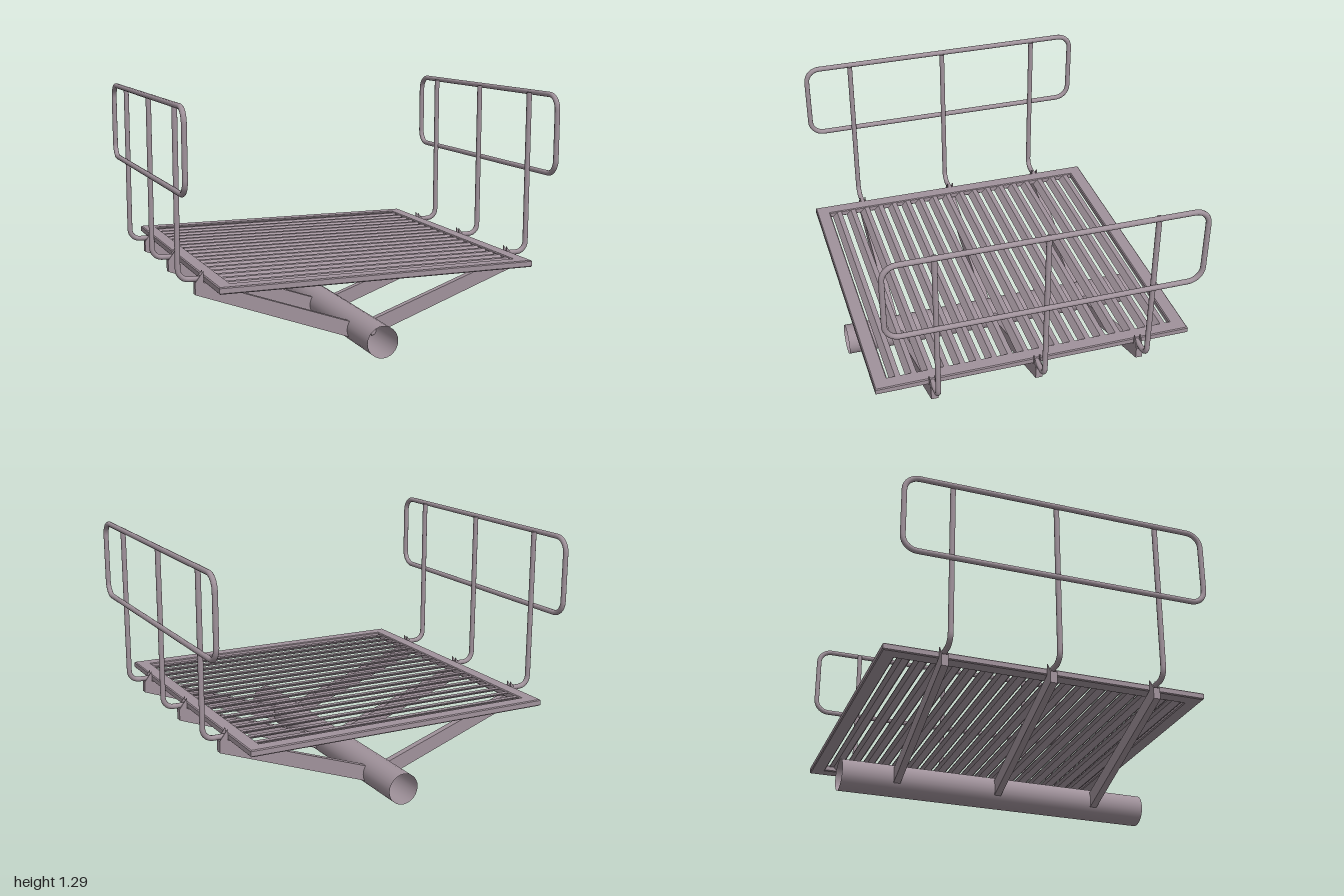
import * as THREE from 'three';

const material = new THREE.MeshStandardMaterial({ color: 0xa0929b, side: THREE.DoubleSide });

function add(parent, name, geometry, x = 0, y = 0, z = 0) {
  const mesh = new THREE.Mesh(geometry, material);
  mesh.name = name;
  mesh.position.set(x, y, z);
  parent.add(mesh);
  return mesh;
}

function polygon(points) {
  return new THREE.Shape(points.map(([x, y]) => new THREE.Vector2(x, y)));
}

// Extrusion along z, centred on z = 0
function plate(points, depth) {
  const g = new THREE.ExtrudeGeometry(polygon(points), { depth, bevelEnabled: false });
  return g.translate(0, 0, -depth / 2);
}

// Path of straight runs with rounded corners, each corner given by [x, y, z]
function roundedPath(corners, radius, closed) {
  const p = corners.map(c => new THREE.Vector3(...c));
  const n = p.length;
  const path = new THREE.CurvePath();
  const towards = (a, b) => a.clone().add(b.clone().sub(a).setLength(radius));
  const k = 0.448;
  let start = closed ? towards(p[0], p[1]) : p[0];
  for (let i = 1; i < (closed ? n + 1 : n - 1); i++) {
    const c = p[i % n];
    const a = towards(c, p[i - 1]);
    const b = towards(c, p[(i + 1) % n]);
    path.add(new THREE.LineCurve3(start, a));
    path.add(new THREE.CubicBezierCurve3(a, c.clone().lerp(a, k), c.clone().lerp(b, k), b));
    start = b;
  }
  if (!closed) path.add(new THREE.LineCurve3(start, p[n - 1]));
  return path;
}

export function createModel() {
  const model = new THREE.Group();
  model.name = 'platform';

  // Open pipe under the deck
  const pipe = new THREE.CylinderGeometry(0.083, 0.083, 1.68, 24, 1, true).rotateX(Math.PI / 2);
  add(model, 'supportPipe', pipe, 0, 0.083, 0);

  // Deck frame with slightly bevelled edges
  const o = 0.835, h = 0.77, bevel = 0.005;
  const frameShape = polygon([[-o, -o], [o, -o], [o, o], [-o, o]]);
  frameShape.holes.push(polygon([[-h, -h], [-h, h], [h, h], [h, -h]]));
  const frame = new THREE.ExtrudeGeometry(frameShape, {
    depth: 0.025, bevelThickness: bevel, bevelSize: bevel, bevelSegments: 1,
  });
  add(model, 'deckFrame', frame.rotateX(-Math.PI / 2), 0, 0.405, 0);

  // Louvre slats: flat top and a lip sloping down to the front
  const slat = plate([
    [0, 0.432], [-0.027, 0.432], [-0.054, 0.403], [-0.049, 0.403], [-0.025, 0.427], [0, 0.427],
  ], 1.54).rotateY(Math.PI / 2);
  for (let i = 0; i < 18; i++) add(model, 'slat', slat, 0, 0, -0.74 + i * 0.0845);

  // Shared geometries for the two sides
  const arm = plate([[0.056, 0.04], [0.885, 0.34], [0.885, 0.4], [0.842, 0.4], [0.03, 0.115]], 0.036);
  const fin = plate([[0.842, 0.4], [0.885, 0.4], [0.842, 0.457]], 0.005);
  const post = new THREE.TubeGeometry(
    roundedPath([[0.83, 0.418, 0], [0.967, 0.418, 0], [0.967, 1.28, 0]], 0.055, false), 80, 0.014, 12);
  const rail = new THREE.TubeGeometry(
    roundedPath([[0.986, 0.87, -0.802], [0.986, 1.281, -0.802], [0.986, 1.281, 0.802], [0.986, 0.87, 0.802]],
      0.075, true), 240, 0.014, 12, true);

  for (const side of ['left', 'right']) {
    const half = new THREE.Group();
    half.name = side + 'Side';
    // The assembly is symmetric in z, so a half turn mirrors it
    if (side === 'right') half.rotation.y = Math.PI;
    add(half, 'guardRail', rail);
    for (const z of [-0.55, 0, 0.55]) {
      add(half, 'supportArm', arm, 0, 0, z);
      add(half, 'railPost', post, 0, 0, z);
      for (const s of [-1, 1]) add(half, 'bracketFin', fin, 0, 0, z + s * 0.0155);
    }
    model.add(half);
  }
  return model;
}
